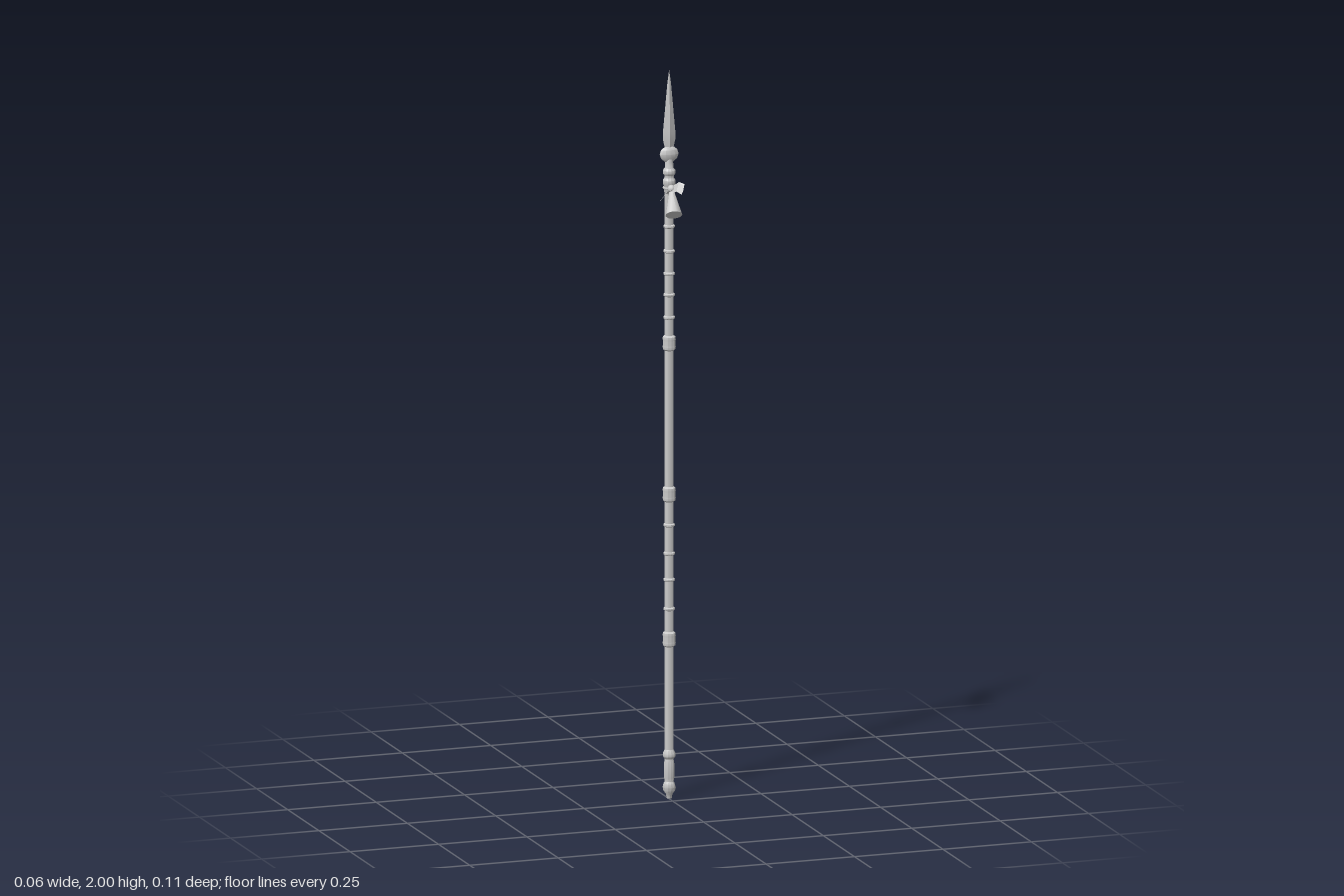
import * as THREE from 'three';
import { toCreasedNormals } from 'three/addons/utils/BufferGeometryUtils.js';

const POLE_X = 0.003, POLE_Z = -0.036;
const grey = new THREE.MeshStandardMaterial({ color: 0xcccccc });
const cloth = new THREE.MeshStandardMaterial({ color: 0xcccccc, flatShading: true, side: THREE.DoubleSide });

// Turned part from [radius, height] pairs, listed from bottom to top
function turned(name, profile, sides = 12) {
  const pts = profile.map(([r, y]) => new THREE.Vector2(r, y));
  const mesh = new THREE.Mesh(toCreasedNormals(new THREE.LatheGeometry(pts, sides), 0.7), grey);
  mesh.name = name;
  return mesh;
}

// Rounded ring round the pole
function ring(name, y, r, h) {
  const mesh = turned(name, [[0.011, -h / 2], [r, -h / 5], [r, h / 5], [0.011, h / 2]]);
  mesh.position.y = y;
  return mesh;
}

// Flat strip of cloth along a path, with its width along a side vector
function ribbon(name, path, side) {
  const pos = [], index = [];
  path.forEach((p, i) => {
    for (const s of [-0.5, 0.5]) pos.push(...p.map((v, k) => v + s * side[k]));
    if (i) {
      const a = 2 * i - 2;
      index.push(a, a + 1, a + 2, a + 1, a + 3, a + 2);
    }
  });
  const geo = new THREE.BufferGeometry();
  geo.setAttribute('position', new THREE.Float32BufferAttribute(pos, 3));
  geo.setIndex(index);
  geo.computeVertexNormals();
  const mesh = new THREE.Mesh(geo, cloth);
  mesh.name = name;
  return mesh;
}

export function createModel() {
  const model = new THREE.Group();
  model.name = 'spear';

  const pole = new THREE.Group();
  pole.name = 'pole';
  pole.position.set(POLE_X, 0, POLE_Z);
  model.add(pole);

  // Shaft and turned foot
  pole.add(turned('shaft', [[0.012, 0.1], [0.012, 1.72]]));
  pole.add(turned('foot', [
    [0, 0], [0.007, 0], [0.009, 0.012], [0.016, 0.021], [0.018, 0.03], [0.015, 0.041],
    [0.012, 0.046], [0.014, 0.056], [0.014, 0.095], [0.012, 0.108], [0.017, 0.115],
    [0.017, 0.124], [0.012, 0.134],
  ]));

  // Wide grip bands with softly rounded ends
  for (const y of [0.437, 0.835, 1.25]) {
    const band = turned('gripBand', [
      [0.012, -0.021], [0.017, -0.017], [0.018, -0.01], [0.017, -0.007],
      [0.017, 0.007], [0.018, 0.01], [0.017, 0.017], [0.012, 0.021],
    ]);
    band.position.y = y;
    pole.add(band);
  }

  // Thin rings on the lower and upper shaft
  for (const y of [0.52, 0.6, 0.672, 0.75, 1.32, 1.382, 1.44, 1.502, 1.57])
    pole.add(ring('thinRing', y, 0.0155, 0.011));

  // Neck socket under the blade
  pole.add(turned('socket', [
    [0.012, 1.66], [0.014, 1.665], [0.014, 1.68], [0.017, 1.686], [0.017, 1.697],
    [0.013, 1.703], [0.013, 1.71], [0.017, 1.715], [0.017, 1.724], [0.012, 1.73],
    [0.011, 1.745], [0.009, 1.765], [0, 1.765],
  ]));

  // Flattened boss, wider than it is deep
  const boss = turned('boss', [
    [0, 1.744], [0.012, 1.747], [0.023, 1.756], [0.027, 1.768],
    [0.023, 1.78], [0.014, 1.787], [0, 1.79],
  ]);
  boss.scale.z = 0.45;
  pole.add(boss);

  // Diamond-section blade with a nearly straight taper
  const blade = turned('blade', [
    [0.011, 1.78], [0.018, 1.81], [0.0175, 1.83], [0.011, 1.9], [0.0055, 1.96], [0, 2],
  ], 4);
  blade.scale.z = 0.45;
  pole.add(blade);

  // Tassel: knot, flared skirt and ribbons
  const tassel = new THREE.Group();
  tassel.name = 'tassel';
  model.add(tassel);

  const top = new THREE.Vector3(0.001, 1.678, -0.012);
  const end = new THREE.Vector3(-0.009, 1.618, 0.036);
  const knot = new THREE.Mesh(new THREE.SphereGeometry(0.011, 10, 8), grey);
  knot.name = 'knot';
  knot.position.copy(top);
  tassel.add(knot);

  const axis = top.clone().sub(end);
  const skirtShape = new THREE.CylinderGeometry(0.005, 0.023, axis.length(), 9);
  const skirt = new THREE.Mesh(toCreasedNormals(skirtShape, 0.9), grey);
  skirt.name = 'skirt';
  skirt.position.copy(top).add(end).multiplyScalar(0.5);
  skirt.quaternion.setFromUnitVectors(new THREE.Vector3(0, 1, 0), axis.normalize());
  tassel.add(skirt);

  tassel.add(
    ribbon('rightLoop', [[-0.003, 1.672, -0.004], [-0.014, 1.668, -0.01], [-0.027, 1.648, -0.017]], [0, 0.012, 0.02]),
    ribbon('leftLoop', [[0.004, 1.678, -0.006], [0.015, 1.688, 0.004], [0.026, 1.684, 0.015]], [0.007, 0.02, -0.008]),
    ribbon('frontTail', [[0.003, 1.678, -0.002], [0.009, 1.688, 0.014], [0.018, 1.683, 0.033]], [0.01, 0.022, -0.008]),
  );

  // Cord tying the knot to the socket
  const cord = new THREE.Mesh(new THREE.TorusGeometry(0.015, 0.003, 6, 14), grey);
  cord.name = 'cord';
  cord.rotation.x = Math.PI / 2;
  cord.position.y = 1.676;
  pole.add(cord);

  return model;
}
